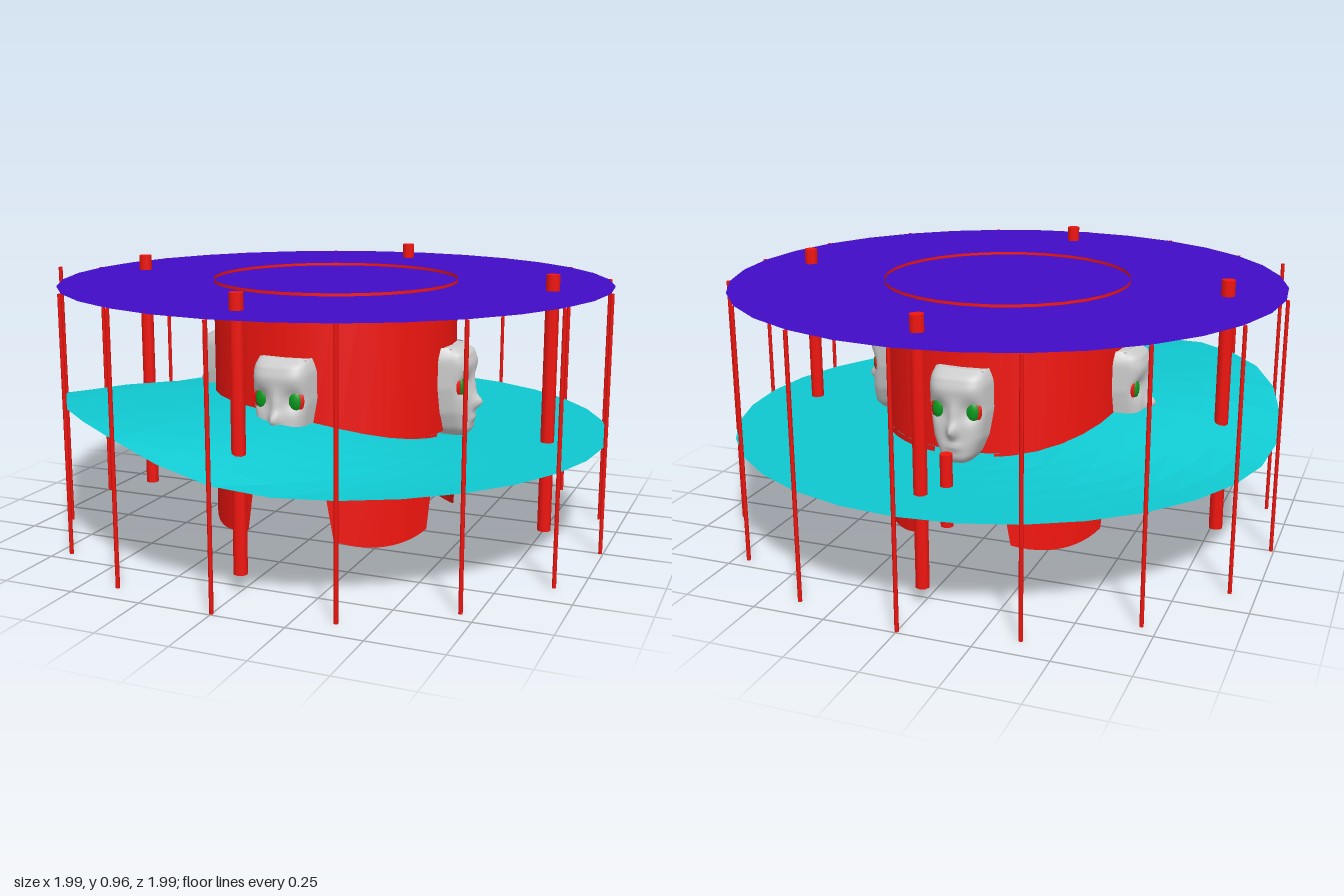
import * as THREE from 'three';

const mat = (color, flatShading = false) =>
  new THREE.MeshStandardMaterial({ color, flatShading, side: THREE.DoubleSide });
const red = mat(0xf2150f), purple = mat(0x420bc8), cyan = mat(0x10c8d0, true);
const green = mat(0x0a9a1e), grey = mat(0xcccccc);

function add(parent, name, geometry, material, x = 0, y = 0, z = 0) {
  const mesh = new THREE.Mesh(geometry, material);
  mesh.name = name;
  mesh.position.set(x, y, z);
  parent.add(mesh);
  return mesh;
}

// Move every vertex of a geometry by a rule
function reshape(geometry, rule) {
  const p = geometry.attributes.position, v = new THREE.Vector3();
  for (let i = 0; i < p.count; i++) {
    rule(v.fromBufferAttribute(p, i));
    p.setXYZ(i, v.x, v.y, v.z);
  }
  geometry.computeVertexNormals();
  return geometry;
}

// Linear interpolation through [key, value] pairs in rising order
function along(pairs, t) {
  for (let i = 1; i < pairs.length; i++) {
    const [a, va] = pairs[i - 1], [b, vb] = pairs[i];
    if (t <= b) return va + (vb - va) * Math.max(0, (t - a) / (b - a));
  }
  return pairs[pairs.length - 1][1];
}

const bump = (x, y, cx, cy, sx, sy) =>
  Math.exp(-(((x - cx) / sx) ** 2) - ((y - cy) / sy) ** 2);

// Warped floor: a swell on one diagonal that narrows toward the rim
function floorGeometry() {
  const g = new THREE.RingGeometry(0.28, 0.985, 32, 8).rotateX(-Math.PI / 2);
  return reshape(g, (v) => {
    const r = Math.hypot(v.x, v.z);
    const off = Math.acos(THREE.MathUtils.clamp((v.z - v.x) / (r * Math.SQRT2), -1, 1));
    const spread = THREE.MathUtils.mapLinear(r, 0.44, 0.985, 1.5, 0.65);
    v.y = 0.38 + 0.135 * Math.exp(-((off / spread) ** 3));
  });
}

// Curved leg of the drum, tapering downward with a rounded foot
function legGeometry() {
  return reshape(new THREE.PlaneGeometry(2, 1, 12, 6), (v) => {
    const u = v.x, t = v.y + 0.5;
    const angle = u * THREE.MathUtils.lerp(0.41, 0.54, t);
    v.set(Math.sin(angle) * 0.44,
      THREE.MathUtils.lerp(0.035 + 0.03 * u * u, 0.4, t),
      Math.cos(angle) * 0.44);
  });
}

// Mask: height-wise width and profile, plus nose, lips and eye sockets
const maskWidth = [[0.37, 0.035], [0.41, 0.07], [0.47, 0.095], [0.56, 0.11], [0.66, 0.108], [0.7, 0.095]];
const maskDepth = [[0.37, 0.49], [0.4, 0.52], [0.44, 0.522], [0.5, 0.52], [0.58, 0.52], [0.64, 0.525], [0.68, 0.51], [0.7, 0.47]];
function maskGeometry() {
  return reshape(new THREE.PlaneGeometry(2, 1, 24, 30), (v) => {
    const u = v.x, y = 0.535 + v.y * 0.33;
    const x = u * along(maskWidth, y);
    const front = along(maskDepth, y);
    v.set(x, y, 0.42 + (front - 0.42) * Math.sqrt(Math.max(0, 1 - u ** 4))
      + 0.035 * bump(x, y, 0, 0.5, 0.018, 0.025)
      + 0.012 * bump(x, y, 0, 0.55, 0.016, 0.04)
      + 0.01 * bump(x, y, 0, 0.445, 0.03, 0.013)
      - 0.022 * bump(Math.abs(x), y, 0.06, 0.565, 0.03, 0.035));
  });
}

function createFace() {
  const face = new THREE.Group();
  face.name = 'face';
  add(face, 'mask', maskGeometry(), grey);
  // Top closure of the mask
  add(face, 'maskTop', new THREE.BoxGeometry(0.17, 0.01, 0.05), grey, 0, 0.692, 0.44);
  for (const s of [-1, 1]) {
    const ball = new THREE.SphereGeometry(1, 16, 12);
    add(face, 'eyeRim', ball, red, s * 0.061, 0.565, 0.49).scale.set(0.03, 0.042, 0.012);
    add(face, 'eye', ball, green, s * 0.059, 0.565, 0.495).scale.set(0.024, 0.036, 0.014);
  }
  return face;
}

export function createModel() {
  const model = new THREE.Group();
  model.name = 'carousel';

  // Flat roof and warped floor
  add(model, 'roof', new THREE.CircleGeometry(0.985, 32).rotateX(-Math.PI / 2), purple, 0, 0.905, 0);
  add(model, 'floor', floorGeometry(), cyan);
  add(model, 'innerRing', new THREE.CylinderGeometry(0.28, 0.28, 0.07, 32, 1, true), cyan, 0, 0.34, 0);

  // Central drum with four legs on the diagonals and four faces on the axes
  add(model, 'drum', new THREE.CylinderGeometry(0.44, 0.44, 0.515, 32, 1, true), red, 0, 0.6575, 0);
  const leg = legGeometry();
  const post = new THREE.CylinderGeometry(0.024, 0.024, 0.9, 8);
  for (let i = 0; i < 4; i++) {
    const a = (i * Math.PI) / 2;
    add(model, 'leg', leg, red).rotation.y = a + Math.PI / 4;
    const face = createFace();
    face.rotation.y = a;
    model.add(face);
    add(model, 'post', post, red, 0.79 * Math.sin(a), 0.51, 0.79 * Math.cos(a));
  }

  // Thin rods around the rim
  for (let i = 0; i < 16; i++) {
    const a = (i * Math.PI) / 8;
    const height = i === 13 ? 0.95 : 0.905;
    add(model, 'rod', new THREE.CylinderGeometry(0.007, 0.007, height, 6), red,
      0.99 * Math.sin(a), height / 2, 0.99 * Math.cos(a));
  }

  // Short peg through the floor at the back
  add(model, 'peg', new THREE.CylinderGeometry(0.022, 0.022, 0.245, 8), red, -0.05, 0.365, -0.7);
  return model;
}
